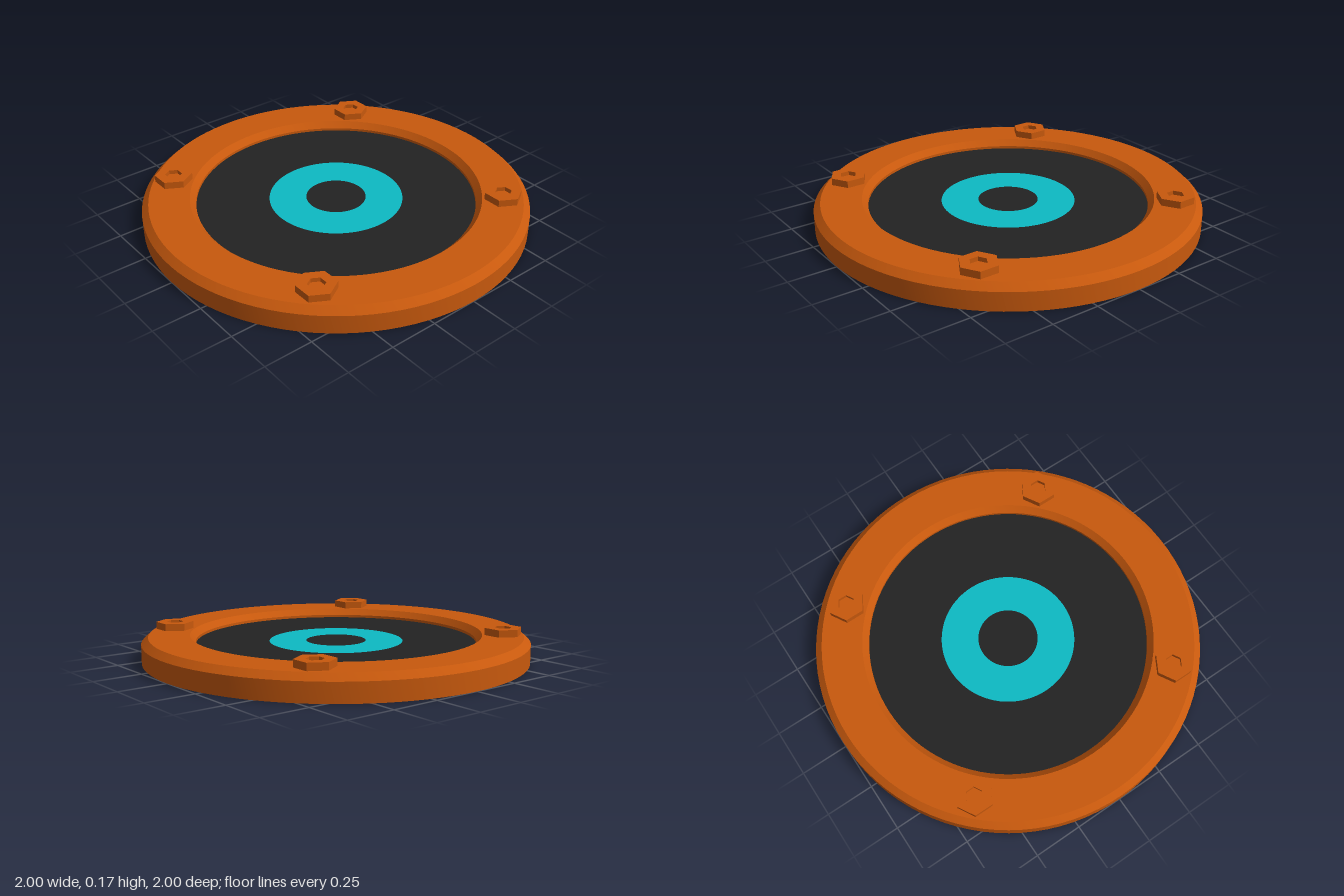
import * as THREE from 'three';
import { toCreasedNormals } from 'three/addons/utils/BufferGeometryUtils.js';

const SEGMENTS = 96;

function hexPoints(radius) {
  return Array.from({ length: 6 }, (_, i) => {
    const a = (i * Math.PI) / 3;
    return new THREE.Vector2(radius * Math.cos(a), radius * Math.sin(a));
  });
}

export function createModel() {
  const orange = new THREE.MeshStandardMaterial({ color: 0xc8590d });
  orange.name = 'orange';
  const black = new THREE.MeshStandardMaterial({ color: 0x232323 });
  black.name = 'black';
  const cyan = new THREE.MeshStandardMaterial({ color: 0x0dbac4 });
  cyan.name = 'cyan';

  const model = new THREE.Group();
  model.name = 'roundPad';

  function add(parent, name, geometry, material, y = 0) {
    const mesh = new THREE.Mesh(geometry, material);
    mesh.name = name;
    mesh.position.y = y;
    parent.add(mesh);
    return mesh;
  }

  // Outer ring, chamfered on its outer and inner top edges
  const profile = [
    [0.725, 0], [1, 0], [1, 0.097], [0.965, 0.13],
    [0.755, 0.13], [0.725, 0.097], [0.725, 0.08],
  ].map(([r, y]) => new THREE.Vector2(r, y));
  add(model, 'outerRing', toCreasedNormals(new THREE.LatheGeometry(profile, SEGMENTS), 0.4), orange);

  // Recessed centre plate, flush with the underside
  const plateTop = 0.083;
  add(model, 'centrePlate',
    new THREE.CylinderGeometry(0.725, 0.725, plateTop, SEGMENTS), black, plateTop / 2);

  // Painted ring on the plate
  const band = new THREE.RingGeometry(0.155, 0.347, SEGMENTS).rotateX(-Math.PI / 2);
  add(model, 'glowRing', band, cyan, plateTop + 0.0015);

  // Four hexagonal bolts with hexagonal sockets
  const hex = new THREE.Shape(hexPoints(0.0975));
  hex.holes.push(new THREE.Path(hexPoints(0.044)));
  const head = new THREE.ExtrudeGeometry(hex, { depth: 0.037, bevelEnabled: false })
    .rotateX(-Math.PI / 2);
  const floor = new THREE.CircleGeometry(0.044, 6).rotateX(-Math.PI / 2);
  for (const sx of [-1, 1]) {
    for (const sz of [-1, 1]) {
      const bolt = new THREE.Group();
      bolt.name = `${sz > 0 ? 'front' : 'back'}${sx > 0 ? 'Left' : 'Right'}Bolt`;
      bolt.position.set(sx * 0.608, 0.13, sz * 0.608);
      add(bolt, 'boltHead', head, orange);
      add(bolt, 'socketFloor', floor, orange, 0.015);
      model.add(bolt);
    }
  }

  return model;
}
